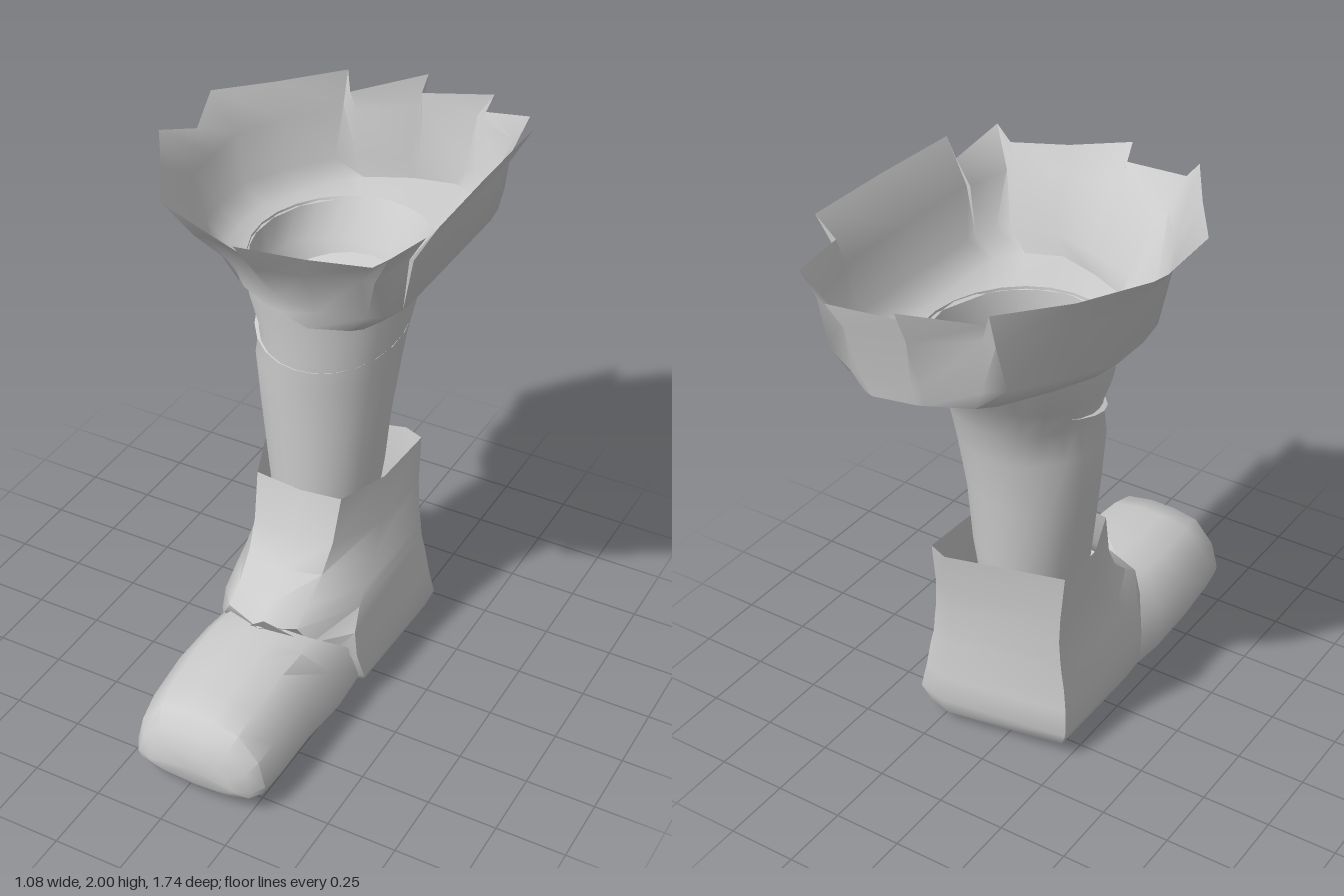
import * as THREE from 'three';
import { toCreasedNormals } from 'three/addons/utils/BufferGeometryUtils.js';

const grey = new THREE.MeshStandardMaterial({ color: 0xcccccc, side: THREE.DoubleSide });
grey.name = 'plain grey';
const { lerp } = THREE.MathUtils;

// Skin a stack of closed rings of [x, y, z] points, with optional end caps.
function loft(name, rings, { start = false, end = false, crease = 0.6 } = {}) {
  const pos = [];
  const tri = (a, b, c) => pos.push(...a, ...b, ...c);
  const n = rings[0].length;
  for (let i = 0; i < rings.length - 1; i++) {
    for (let j = 0; j < n; j++) {
      const k = (j + 1) % n;
      const [a, b, c, d] = [rings[i][j], rings[i][k], rings[i + 1][j], rings[i + 1][k]];
      tri(a, c, b);
      tri(b, c, d);
    }
  }
  const cap = (ring, flip) => {
    const mid = [0, 1, 2].map((q) => ring.reduce((s, p) => s + p[q], 0) / n);
    ring.forEach((p, j) => {
      const next = ring[(j + 1) % n];
      if (flip) tri(mid, next, p); else tri(mid, p, next);
    });
  };
  if (start) cap(rings[0], false);
  if (end) cap(rings[rings.length - 1], true);
  const geo = new THREE.BufferGeometry();
  geo.setAttribute('position', new THREE.Float32BufferAttribute(pos, 3));
  const mesh = new THREE.Mesh(toCreasedNormals(geo, crease), grey);
  mesh.name = name;
  return mesh;
}

// Leg ring from its extents, with a hollow or bulge at the right rear.
function legRing(y, right, left, back, front, bulge = 0) {
  const ring = [];
  for (let i = 0; i < 24; i++) {
    const a = (i / 24) * Math.PI * 2;
    const r = 1 + bulge * Math.exp(-(((a - 3.9) / 0.45) ** 2));
    ring.push([
      (left + right) / 2 + (left - right) / 2 * Math.cos(a) * r,
      y,
      (front + back) / 2 + (front - back) / 2 * Math.sin(a) * r,
    ]);
  }
  return ring;
}

// Eight-cornered ankle ring: narrow front, slanted flat back.
function ankleRing(y, front, shoulder, side, xr, xl, backR, backL, nose = 0.16) {
  return [
    [xl, y, backL + 0.03], [xl * 0.96, y, side], [nose + 0.01, y, shoulder], [0.02, y, front],
    [-nose, y, shoulder], [xr, y, side], [xr, y, backR], [xl * 0.7, y, backL],
  ];
}

// Domed toe section; lean tips its upper half forward.
const toeShape = [[-0.62, -0.04], [-0.96, 0.1], [-1, 0.22], [-0.9, 0.6], [-0.6, 0.93], [-0.2, 1],
  [0.2, 1], [0.6, 0.93], [0.9, 0.6], [1, 0.22], [0.96, 0.1], [0.62, -0.04], [0.05, -0.09]];
function toeRing(z, right, left, bottom, top, lean = 0) {
  return toeShape.map(([u, v]) => {
    const y = bottom + (top - bottom) * v;
    return [(left + right) / 2 + (left - right) / 2 * u, y, z + lean * Math.max(0, y - 0.2)];
  });
}

// Collar stations: torn rim x, y, z, then the widest lower line x, z.
const collarPoints = [
  [-0.54, 1.98, -0.33, -0.42, -0.33], [-0.4, 1.96, -0.53, -0.34, -0.48],
  [-0.23, 1.96, -0.73, -0.23, -0.64], [-0.2, 1.9, -0.69, -0.17, -0.69],
  [0.02, 1.95, -0.85, 0, -0.76], [0.02, 1.9, -0.8, 0.03, -0.77],
  [0.26, 1.92, -0.87, 0.2, -0.8], [0.25, 1.87, -0.83, 0.24, -0.79],
  [0.44, 1.93, -0.76, 0.38, -0.72], [0.48, 1.92, -0.53, 0.42, -0.58],
  [0.54, 2, -0.55, 0.43, -0.5], [0.54, 2, -0.2, 0.43, -0.2],
  [0.54, 1.99, 0.15, 0.43, 0.1], [0.49, 1.93, 0.13, 0.425, 0.14],
  [0.48, 1.97, 0.36, 0.39, 0.21], [0.42, 1.92, 0.35, 0.35, 0.24],
  [0.23, 1.93, 0.42, 0.2, 0.29], [0.03, 1.96, 0.5, 0.05, 0.25],
  [0.02, 1.91, 0.45, 0, 0.235], [-0.24, 1.95, 0.39, -0.16, 0.17],
  [-0.27, 1.99, 0.42, -0.2, 0.145], [-0.4, 1.98, 0.21, -0.32, 0.06],
  [-0.54, 1.98, 0, -0.4, -0.05], [-0.5, 1.92, -0.17, -0.42, -0.17],
];

function makeCollar() {
  const ring = (f) => collarPoints.map((p) => f(...p));
  return loft('collar', [
    // Inner edge meeting the top of the leg
    ring((x, y, z, mx, mz) => {
      const a = Math.atan2((mz + 0.245) / 0.345, mx / 0.31);
      return [0.01 + 0.305 * Math.cos(a), 1.57, -0.245 + 0.34 * Math.sin(a)];
    }),
    ring((x, y, z, mx, mz) => [mx * 0.82, 1.59, -0.25 + (mz + 0.25) * 0.98]),
    ring((x, y, z, mx, mz) => [mx, 1.66, mz]),
    ring((x, y, z, mx, mz) => [lerp(mx, x, 0.2), 1.84, lerp(mz, z, 0.65)]),
    ring((x, y, z) => [x, y, z]),
  ], { crease: 1.0 });
}

export function createModel() {
  const model = new THREE.Group();
  model.name = 'bootedLeg';

  // Leg
  model.add(loft('leg', [
    legRing(0.62, -0.18, 0.19, -0.35, 0.05),
    legRing(0.78, -0.2, 0.21, -0.37, 0.06),
    legRing(1.0, -0.23, 0.23, -0.38, 0.06),
    legRing(1.2, -0.25, 0.255, -0.41, 0.075, -0.04),
    legRing(1.32, -0.235, 0.27, -0.43, 0.08, -0.02),
    legRing(1.45, -0.29, 0.29, -0.49, 0.09, 0.06),
    legRing(1.58, -0.3, 0.32, -0.59, 0.1),
  ], { crease: 0.9 }));

  // Sloping floor inside the open top of the leg
  const floorRing = legRing(1.35, -0.26, 0.275, -0.46, 0.08)
    .map(([x, y, z]) => [x, y - 0.3 * (z + 0.2), z]);
  model.add(loft('legFloor', [floorRing], { end: true }));

  model.add(makeCollar());

  // Ankle and heel of the boot
  model.add(loft('bootAnkle', [
    ankleRing(0.0, -0.04, -0.06, -0.14, -0.1, 0.2, -0.25, -0.32, 0.06),
    ankleRing(0.045, 0.17, 0.16, 0.1, -0.22, 0.31, -0.33, -0.4),
    ankleRing(0.11, 0.18, 0.17, 0.15, -0.25, 0.335, -0.35, -0.42, 0.21),
    ankleRing(0.21, 0.2, 0.2, 0.17, -0.245, 0.315, -0.34, -0.41, 0.21),
    ankleRing(0.3, 0.3, 0.28, 0.16, -0.235, 0.3, -0.335, -0.405, 0.17),
    ankleRing(0.37, 0.37, 0.31, 0.1, -0.225, 0.285, -0.335, -0.4, 0.13),
    ankleRing(0.42, 0.3, 0.24, 0.04, -0.22, 0.28, -0.335, -0.4, 0.13),
    ankleRing(0.5, 0.19, 0.15, -0.04, -0.215, 0.27, -0.335, -0.4, 0.14),
    ankleRing(0.6, 0.12, 0.09, -0.1, -0.22, 0.26, -0.335, -0.41, 0.15),
    ankleRing(0.77, 0.07, 0.05, -0.14, -0.235, 0.25, -0.33, -0.44),
  ], { start: true, crease: 0.75 }));

  // Toe of the boot
  model.add(loft('bootToe', [
    toeRing(0.13, -0.235, 0.3, 0.04, 0.36, 1.2),
    toeRing(0.3, -0.25, 0.31, 0.04, 0.36, 0.6),
    toeRing(0.5, -0.25, 0.3, 0.055, 0.35),
    toeRing(0.7, -0.23, 0.3, 0.055, 0.34),
    toeRing(0.8, -0.21, 0.29, 0.05, 0.315),
    toeRing(0.845, -0.18, 0.26, 0.06, 0.26),
    toeRing(0.87, -0.12, 0.2, 0.09, 0.2),
  ], { start: true, end: true, crease: 0.75 }));

  // Loose tongue flap over the instep
  const flap = new THREE.BufferGeometry();
  flap.setAttribute('position', new THREE.Float32BufferAttribute(
    [-0.02, 0.36, 0.36, 0.15, 0.37, 0.35, 0.06, 0.44, 0.4], 3));
  flap.computeVertexNormals();
  const tongue = new THREE.Mesh(flap, grey);
  tongue.name = 'tongueFlap';
  model.add(tongue);

  return model;
}
